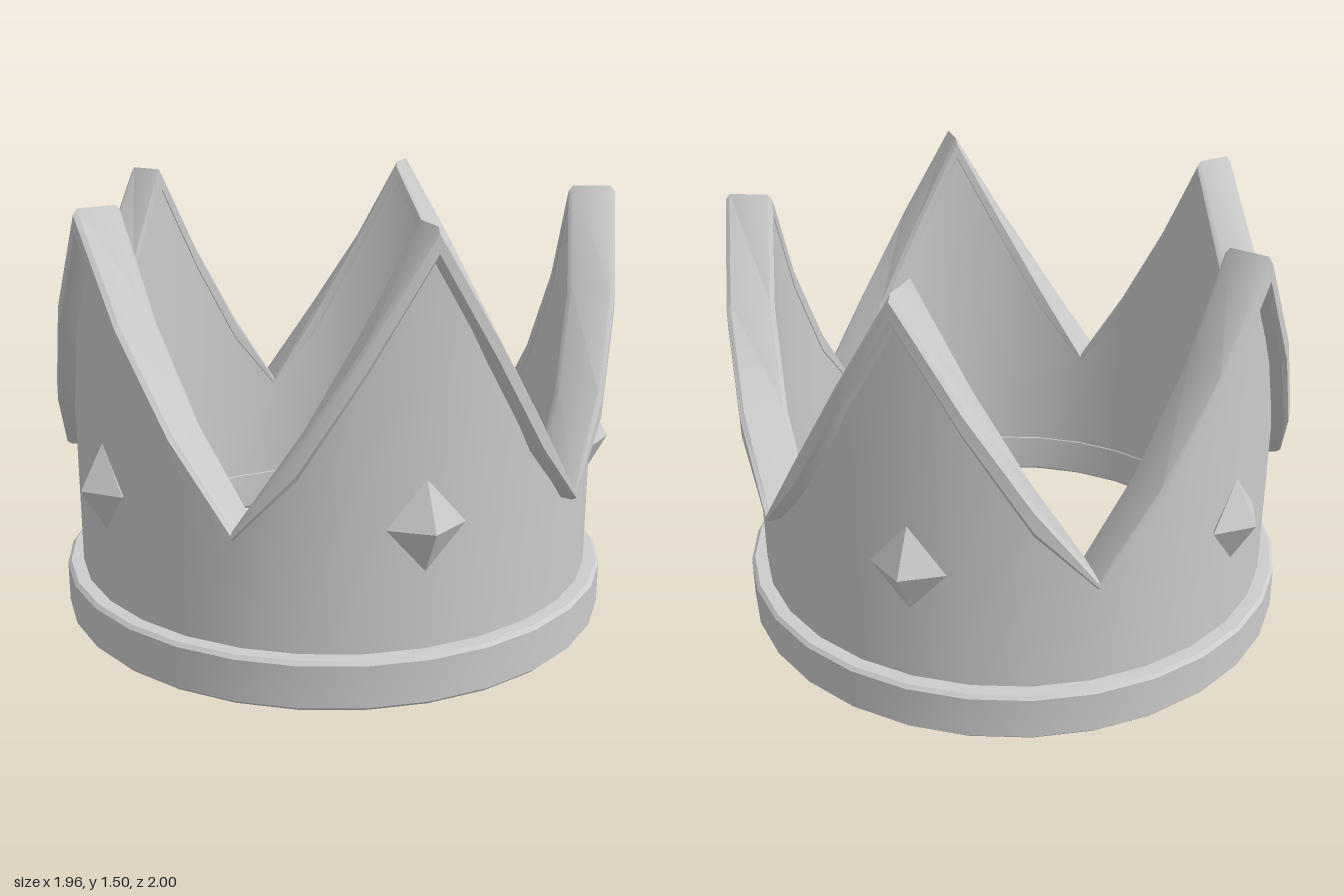
import * as THREE from 'three';
import { toCreasedNormals } from 'three/addons/utils/BufferGeometryUtils.js';

const POINTS = 5, SEGMENTS = 30;
const R = 0.987, INNER = 0.825, WALL = 0.93;
const GEM_Y = 0.58;
const material = new THREE.MeshStandardMaterial({ color: 0xcccccc, side: THREE.DoubleSide });

// Sweeps a closed (radius, height) section around the crown; section(angle) may vary
function sweep(name, section) {
  const positions = [], index = [];
  const count = section(0).length;
  for (let i = 0; i < SEGMENTS; i++) {
    const a = (i / SEGMENTS) * Math.PI * 2;
    for (const [r, y] of section(a)) positions.push(r * Math.sin(a), y, r * Math.cos(a));
    const next = (i + 1) % SEGMENTS;
    for (let j = 0; j < count; j++) {
      const k = (j + 1) % count;
      const p = i * count + j, q = next * count + j;
      const s = next * count + k, t = i * count + k;
      index.push(p, q, s, p, s, t);
    }
  }
  const geometry = new THREE.BufferGeometry();
  geometry.setAttribute('position', new THREE.Float32BufferAttribute(positions, 3));
  geometry.setIndex(index);
  const mesh = new THREE.Mesh(toCreasedNormals(geometry, 0.6), material);
  mesh.name = name;
  return mesh;
}

// Sideways distance from the nearest peak, 0 at a peak and largest in a valley
function offPeak(angle) {
  const step = (Math.PI * 2) / POINTS;
  return R * Math.sin(Math.abs(angle - Math.round(angle / step) * step));
}
const rimTop = (angle) => 1.5 - 1.59 * offPeak(angle);
const rimBottom = (angle) => Math.max(1.405 - 1.62 * offPeak(angle), 0.545);

// Rectangle with chamfered corners, counterclockwise in (radius, height)
function chamfered(r0, r1, y0, y1, c, cy = c) {
  return [
    [r0 + c, y0], [r1 - c, y0], [r1, y0 + cy], [r1, y1 - cy],
    [r1 - c, y1], [r0 + c, y1], [r0, y1 - cy], [r0, y0 + cy],
  ];
}

export function createModel() {
  const crown = new THREE.Group();
  crown.name = 'crown';

  // Base band with softened edges
  crown.add(sweep('baseBand', () => chamfered(INNER, R, 0, 0.168, 0.012)));

  // Wall rising into five points
  crown.add(sweep('wall', (a) => {
    const top = (rimTop(a) + rimBottom(a)) / 2;
    return [[INNER + 0.003, 0.1], [WALL, 0.1], [WALL, top], [INNER + 0.003, top]];
  }));

  // Raised rim following the zigzag edge
  crown.add(sweep('rim', (a) => {
    const low = rimBottom(a), high = rimTop(a);
    return chamfered(INNER, R, low, high, 0.015, Math.min(0.02, (high - low) * 0.3));
  }));

  // One diamond gem below each point
  const gemGeometry = new THREE.OctahedronGeometry(1).scale(0.13, 0.15, 0.083);
  for (let i = 0; i < POINTS; i++) {
    const a = (i / POINTS) * Math.PI * 2;
    const gem = new THREE.Mesh(gemGeometry, material);
    gem.name = 'gem' + (i + 1);
    gem.position.set(WALL * Math.sin(a), GEM_Y, WALL * Math.cos(a));
    gem.rotation.y = a;
    crown.add(gem);
  }

  // Centre the whole crown front to back, as the front gem sticks out
  for (const part of crown.children) part.position.z -= 0.0125;
  return crown;
}
